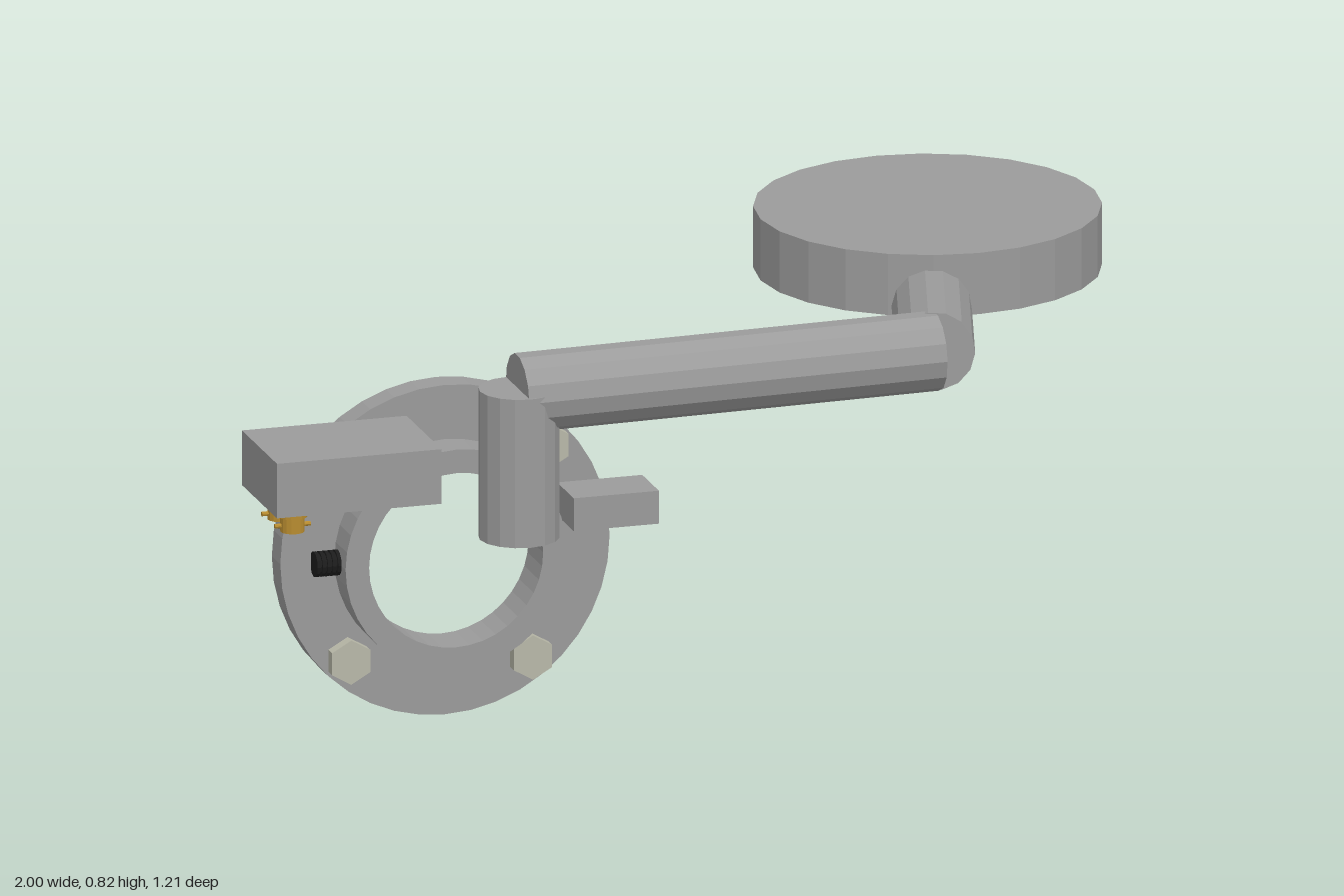
import * as THREE from 'three';

const material = (color) => new THREE.MeshStandardMaterial({ color, flatShading: true });
const grey = material(0x9b9b9b);
const dark = material(0x1c1c1c);
const brass = material(0xb88c30);
const steel = material(0xb8b8a8);

export function createModel() {
  const model = new THREE.Group();

  const add = (name, geometry, mat = grey, x = 0, y = 0, z = 0) => {
    const mesh = new THREE.Mesh(geometry, mat);
    mesh.name = name;
    mesh.position.set(x, y, z);
    model.add(mesh);
    return mesh;
  };

  // Box given by its lower and upper corners
  const box = (name, a, b) => add(name,
    new THREE.BoxGeometry(b[0] - a[0], b[1] - a[1], b[2] - a[2]), grey,
    (a[0] + b[0]) / 2, (a[1] + b[1]) / 2, (a[2] + b[2]) / 2);

  // Cylinder running between two points
  const rod = (name, from, to, radius, sides = 14, mat = grey) => {
    const a = new THREE.Vector3(...from), b = new THREE.Vector3(...to);
    const dir = b.clone().sub(a);
    const mesh = add(name, new THREE.CylinderGeometry(radius, radius, dir.length(), sides), mat);
    mesh.position.copy(a).add(b).multiplyScalar(0.5);
    mesh.quaternion.setFromUnitVectors(new THREE.Vector3(0, 1, 0), dir.normalize());
  };

  // Ring flange with raised hub, stepped bore and rear seal groove (radius, z)
  const cx = -0.548, cy = 0.35;
  const profile = [
    [0.22, 0.235], [0.284, 0.235], [0.284, 0.25], [0.298, 0.25], [0.298, 0.235],
    [0.35, 0.235], [0.35, 0.294], [0.235, 0.294], [0.235, 0.372],
    [0.185, 0.372], [0.185, 0.27], [0.22, 0.27], [0.22, 0.235],
  ].map(([r, z]) => new THREE.Vector2(r, z));
  add('flange', new THREE.LatheGeometry(profile, 40).rotateX(Math.PI / 2), grey, cx, cy);

  // Dark seal filling the groove, its flat face to the rear
  add('sealRing', new THREE.RingGeometry(0.284, 0.298, 40).rotateY(Math.PI), dark, cx, cy, 0.237);

  // Four hexagonal bolt heads
  for (const degrees of [44, 130, 226, 307]) {
    const a = THREE.MathUtils.degToRad(degrees);
    const x = cx + 0.298 * Math.cos(a), y = cy + 0.298 * Math.sin(a);
    rod('boltHead', [x, y, 0.285], [x, y, 0.32], 0.047, 6, steel);
  }

  // Threaded set screw entering the hub wall
  rod('setScrew', [-0.833, cy, 0.315], [-0.74, cy, 0.315], 0.022, 12, dark);
  for (let i = 0; i < 5; i++) {
    const x = -0.833 + i * 0.011;
    rod('screwThread', [x, cy, 0.315], [x + 0.007, cy, 0.315], 0.027, 12, dark);
  }

  // Side blocks
  box('connectorBox', [-1, 0.547, 0.361], [-0.65, 0.663, 0.605]);
  box('smallBlock', [-0.313, 0.405, 0.305], [-0.132, 0.475, 0.421]);

  // Pair of brass bayonet connectors under the box
  for (const z of [0.49, 0.4]) {
    rod('connectorBarrel', [-0.932, 0.481, z], [-0.932, 0.55, z], 0.025, 16, brass);
    rod('connectorCollar', [-0.932, 0.513, z], [-0.932, 0.55, z], 0.031, 16, brass);
    rod('bayonetPin', [-0.97, 0.494, z], [-0.894, 0.494, z], 0.005, 8, brass);
  }

  // Post and two-part arm
  rod('post', [-0.43, 0.405, 0.423], [-0.43, 0.72, 0.423], 0.083, 16);
  rod('mainArm', [-0.432, 0.709, 0.42], [0.457, 0.72, 0.42], 0.082);
  rod('outerArm', [0.452, 0.722, 0.43], [0.647, 0.688, -0.252], 0.082);

  // Round plate on the arm's end
  add('plate', new THREE.CylinderGeometry(0.355, 0.355, 0.13, 24), grey, 0.644, 0.754, -0.25);

  return model;
}
